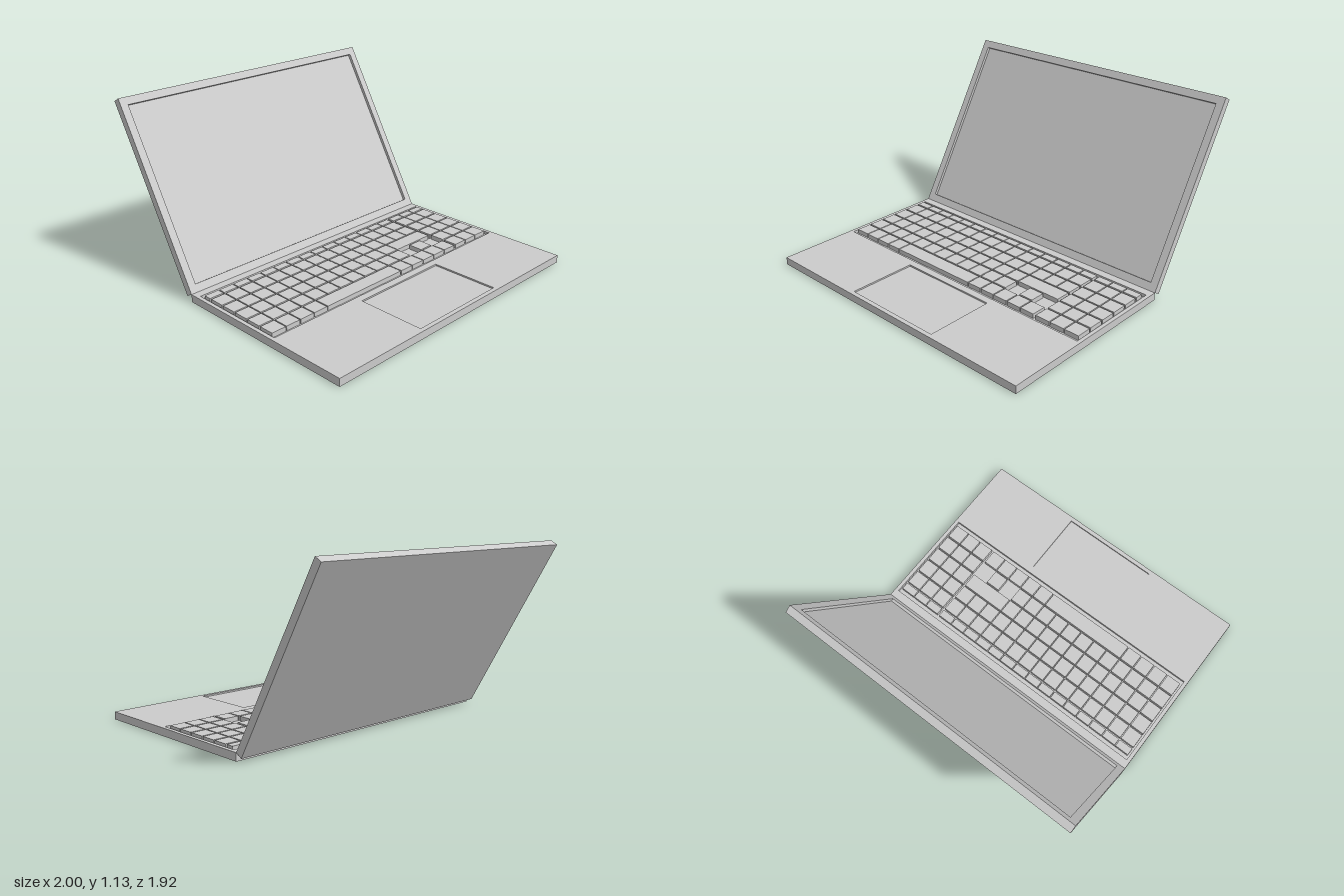
import * as THREE from 'three';

const material = new THREE.MeshStandardMaterial({ color: 0xcccccc, flatShading: true });
const THICK = 0.05;

function mesh(name, geometry) {
  const m = new THREE.Mesh(geometry, material);
  m.name = name;
  return m;
}

// Traces a rectangle onto a Shape or Path
function rect(path, [x0, y0, x1, y1]) {
  path.moveTo(x0, y0);
  path.lineTo(x1, y0);
  path.lineTo(x1, y1);
  path.lineTo(x0, y1);
  path.closePath();
  return path;
}

// Box from corner to corner
function block(name, [x0, y0, x1, y1], z0, z1) {
  const g = new THREE.BoxGeometry(x1 - x0, y1 - y0, z1 - z0);
  g.translate((x0 + x1) / 2, (y0 + y1) / 2, (z0 + z1) / 2);
  return mesh(name, g);
}

// Slab lying in local XY with rectangular pockets sunk into its +z face
function panel(name, outline, pockets) {
  const group = new THREE.Group();
  group.name = name;
  const shape = rect(new THREE.Shape(), outline);
  for (const p of pockets) {
    shape.holes.push(rect(new THREE.Path(), p.area));
    group.add(block(p.name, p.area, 0, THICK - p.depth));
  }
  group.add(mesh(name + 'Frame', new THREE.ExtrudeGeometry(shape, { depth: THICK, bevelEnabled: false })));
  return group;
}

function createKeyboard() {
  const keyboard = new THREE.Group();
  keyboard.name = 'keyboard';
  const PITCH = 0.1066, WIDTH = 0.0995, LEFT = -0.963, PAD = 0.647;
  // Each row: back edge, depth, and [first column, columns spanned] of the main keys
  const singles = (from, to) => Array.from({ length: to - from + 1 }, (_, i) => [from + i, 1]);
  const rows = [
    { z: -0.208, d: 0.05, keys: singles(0, 14) },
    { z: -0.145, d: 0.1, keys: singles(0, 14) },
    { z: -0.034, d: 0.1, keys: singles(0, 14) },
    { z: 0.076, d: 0.1, keys: [...singles(0, 11), [12, 3]] },
    { z: 0.187, d: 0.1, keys: [...singles(0, 11), [13, 1]] },
    { z: 0.298, d: 0.1, keys: [...singles(0, 3), [4, 6], ...singles(10, 14)] },
  ];
  for (const { z, d, keys } of rows) {
    const addKey = (name, x, span) => {
      const w = WIDTH + (span - 1) * PITCH;
      keyboard.add(block(name, [x, -z - d, x + w, -z], 0.03, 0.06));
    };
    for (const [col, span] of keys) addKey(span === 6 ? 'spaceBar' : 'key', LEFT + col * PITCH, span);
    for (let i = 0; i < 3; i++) addKey('padKey', PAD + i * PITCH, 1);
  }
  return keyboard;
}

export function createModel() {
  const model = new THREE.Group();
  model.name = 'laptop';

  // Base with keyboard well and touchpad, laid flat (local y becomes -z)
  const base = panel('base', [-1, -0.959, 1, 0.291], [
    { name: 'keyboardWell', area: [-0.975, -0.43, 0.975, 0.236], depth: 0.02 },
    { name: 'touchpad', area: [-0.34, -0.93, 0.34, -0.48], depth: 0.01 },
  ]);
  base.add(createKeyboard());
  base.rotation.x = -Math.PI / 2;
  model.add(base);

  // Lid tilted back 30 degrees about the rear top edge of the base
  const lid = panel('lid', [-1, 0, 1, 1.25], [
    { name: 'screen', area: [-0.95, 0.05, 0.95, 1.2], depth: 0.02 },
  ]);
  lid.children.forEach((part) => part.geometry.translate(0, 0, -THICK));
  lid.position.set(0, THICK, -0.291);
  lid.rotation.x = -Math.PI / 6;
  model.add(lid);

  return model;
}
